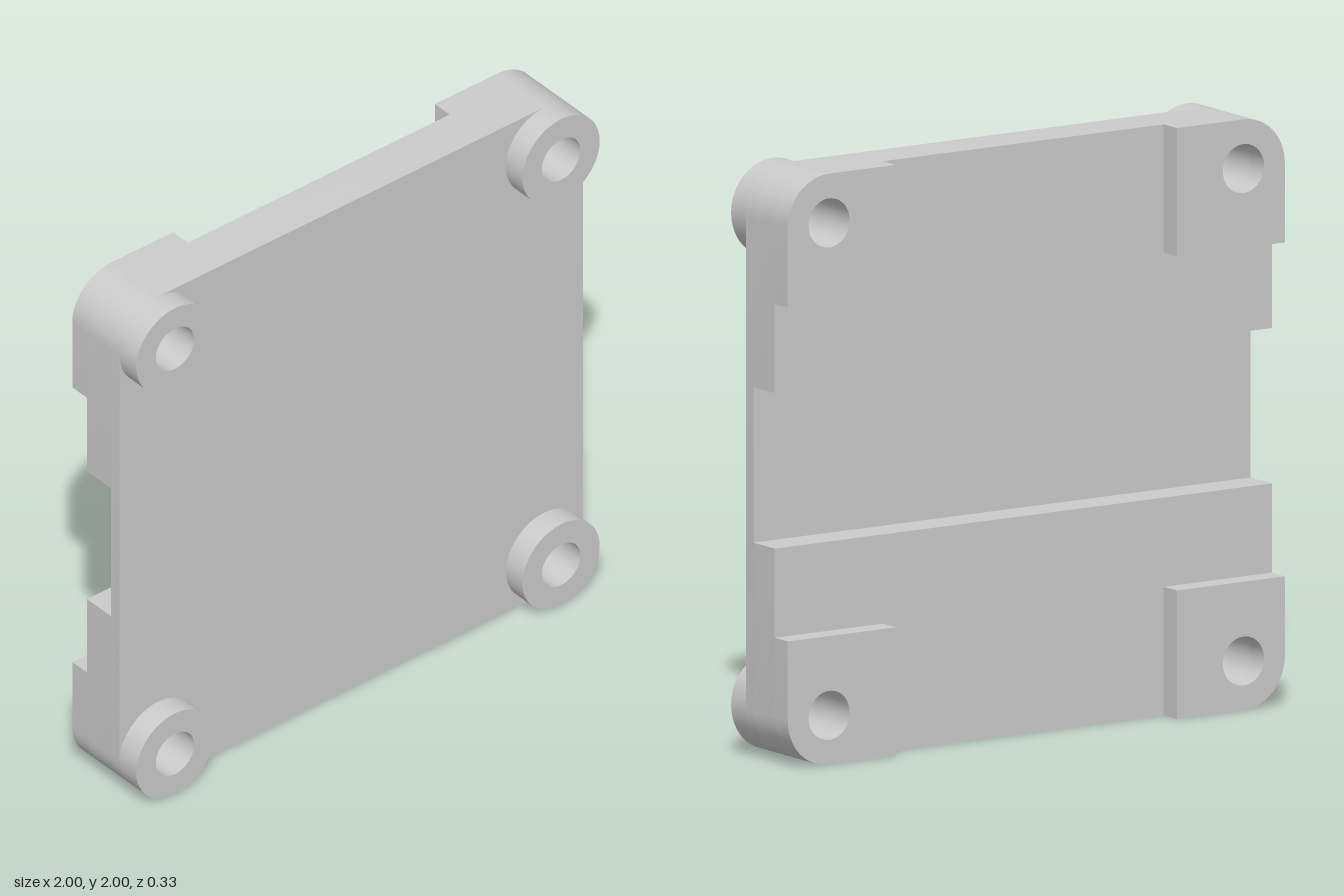
import * as THREE from 'three';
import { toCreasedNormals } from 'three/addons/utils/BufferGeometryUtils.js';

const R = 1 / 6;          // corner and boss radius
const C = 1 - R;          // hole centre offset from the middle
const HOLE = 0.083;       // screw hole radius
const ARC = 12;           // segments per quarter circle

// z levels from back to front
const BACK = -R, BAND = -0.09, SKIN = 0.035, FACE = 0.08, FRONT = R;

const material = new THREE.MeshStandardMaterial({ color: 0xcccccc });

function addHole(shape, x, y) {
  const hole = new THREE.Path();
  hole.absarc(x, y, HOLE, 0, Math.PI * 2, true);
  shape.holes.push(hole);
}

// Rectangle whose corners are rounded and drilled where they meet the outer corners
function plateShape(x0, x1, y0, y1) {
  const points = [];
  const holes = [];
  [[x0, y0], [x1, y0], [x1, y1], [x0, y1]].forEach(([x, y], k) => {
    if (Math.abs(x) < 1 || Math.abs(y) < 1) {
      points.push(new THREE.Vector2(x, y));
      return;
    }
    const cx = x * C, cy = y * C;
    for (let i = 0; i <= ARC; i++) {
      const a = Math.PI + (k + i / ARC) * Math.PI / 2;
      points.push(new THREE.Vector2(cx + R * Math.cos(a), cy + R * Math.sin(a)));
    }
    holes.push([cx, cy]);
  });
  const shape = new THREE.Shape(points);
  holes.forEach(([x, y]) => addHole(shape, x, y));
  return shape;
}

function bossShape(x, y) {
  const shape = new THREE.Shape();
  shape.absarc(x, y, R, 0, Math.PI * 2, false);
  addHole(shape, x, y);
  return shape;
}

function layer(name, shape, z0, z1) {
  const geometry = new THREE.ExtrudeGeometry(shape, {
    depth: z1 - z0, bevelEnabled: false, curveSegments: ARC * 2,
  });
  geometry.translate(0, 1, z0);
  const mesh = new THREE.Mesh(toCreasedNormals(geometry, 0.5), material);
  mesh.name = name;
  return mesh;
}

export function createModel() {
  const model = new THREE.Group();
  model.name = 'mountingPlate';

  // Thin front plate, forming the floor of the rear channel
  model.add(layer('frontPlate', plateShape(-1, 1, -1, 1), SKIN, FACE));

  // Thick bands above and below the channel
  model.add(layer('upperBand', plateShape(-1, 1, 0.263, 1), BAND, SKIN));
  model.add(layer('lowerBand', plateShape(-1, 1, -1, -0.263), BAND, SKIN));

  // Square pads behind and round bosses in front of each corner hole
  for (const sx of [-1, 1]) {
    for (const sy of [-1, 1]) {
      const name = (sy > 0 ? 'upper' : 'lower') + (sx > 0 ? 'Left' : 'Right');
      const [x0, x1] = sx > 0 ? [0.565, 1] : [-1, -0.565];
      const [y0, y1] = sy > 0 ? [0.565, 1] : [-1, -0.565];
      model.add(layer(name + 'Pad', plateShape(x0, x1, y0, y1), BACK, BAND));
      model.add(layer(name + 'Boss', bossShape(sx * C, sy * C), FACE, FRONT));
    }
  }
  return model;
}
